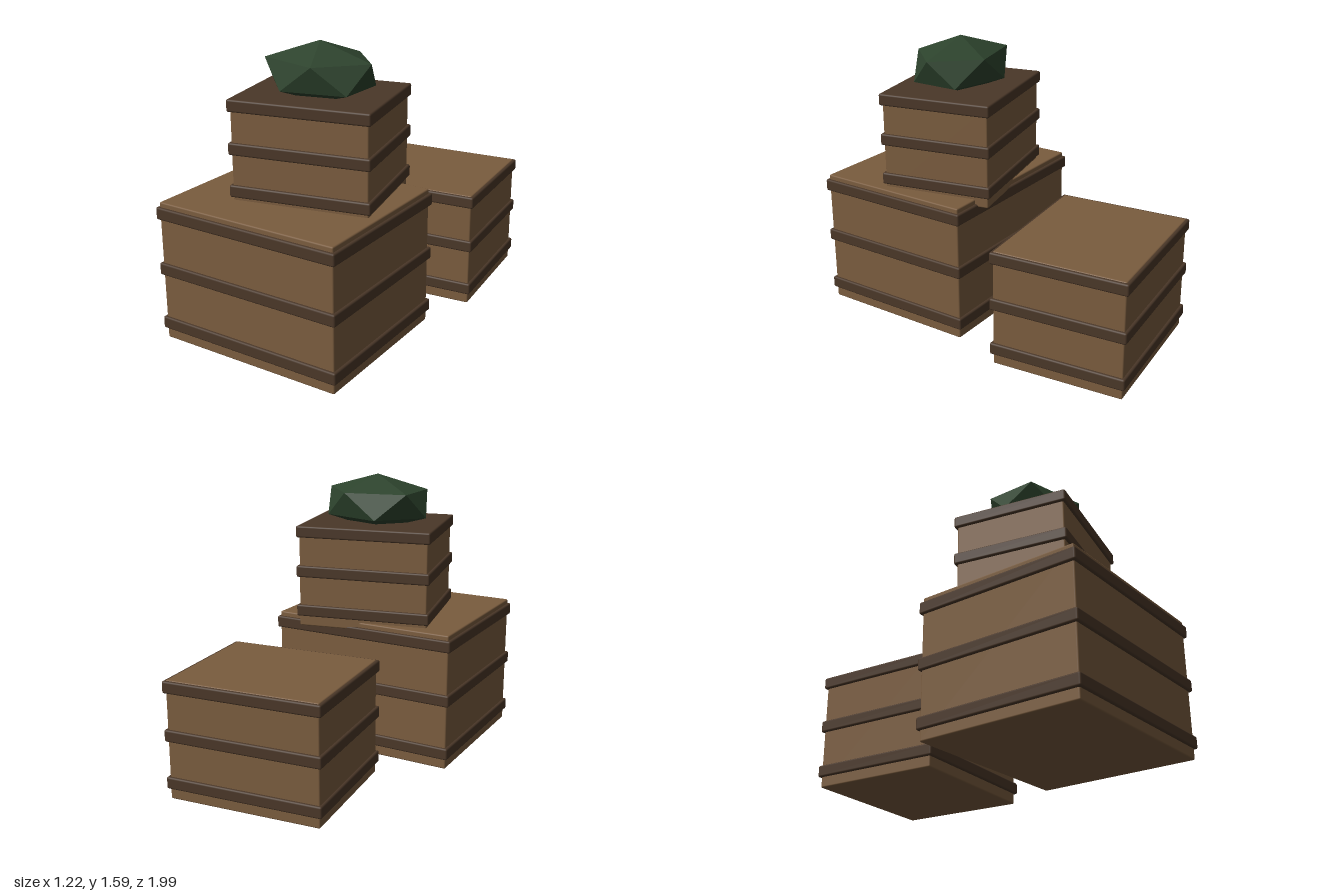
import * as THREE from 'three';
import { RoundedBoxGeometry } from 'three/addons/geometries/RoundedBoxGeometry.js';

const wood = new THREE.MeshStandardMaterial({ color: 0x7a5c3e });
const darkWood = new THREE.MeshStandardMaterial({ color: 0x4a3728 });
const green = new THREE.MeshStandardMaterial({ color: 0x2d432d, flatShading: true });

// A crate with softened edges and three bands standing proud of its sides
function crate({ name, size, bottom, top, bands, bandHeight = 0.066, x, z, turn = 0 }) {
  const group = new THREE.Group();
  group.name = name;
  const [w, d] = size;

  const body = new THREE.Mesh(new RoundedBoxGeometry(w, top - bottom, d, 2, 0.008), wood);
  body.name = 'crateBody';
  body.position.y = (top + bottom) / 2;
  group.add(body);

  for (const y of bands) {
    const band = new THREE.Mesh(new RoundedBoxGeometry(w + 0.03, bandHeight, d + 0.03, 2, 0.01), darkWood);
    band.name = 'crateBand';
    band.position.y = y;
    group.add(band);
  }
  group.position.set(x, 0, z);
  group.rotation.y = turn;
  return group;
}

export function createModel() {
  const model = new THREE.Group();
  model.name = 'crateStack';

  model.add(
    crate({ name: 'largeCrate', size: [1.08, 0.925], bottom: 0, top: 0.783,
      bands: [0.093, 0.408, 0.722], bandHeight: 0.068, x: -0.06, z: 0.52 }),
    crate({ name: 'rearCrate', size: [0.865, 0.74], bottom: 0, top: 0.661,
      bands: [0.093, 0.358, 0.624], x: 0.12, z: -0.57, turn: 0.1 }),
    // top band closes over the body as a lid
    crate({ name: 'topCrate', size: [0.745, 0.62], bottom: 0.74, top: 1.315,
      bands: [0.832, 1.061, 1.29], x: 0, z: 0.365, turn: 0.21 }),
  );

  // Faceted bundle: icosahedron stood on a vertex and squashed, sunk into the lid
  const shape = new THREE.IcosahedronGeometry(1, 0);
  shape.rotateZ(-Math.atan(2 / (1 + Math.sqrt(5))));
  shape.scale(0.345, 0.162, 0.267);
  const bundle = new THREE.Mesh(shape, green);
  bundle.name = 'bundle';
  bundle.position.set(0, 1.43, 0.37);
  model.add(bundle);

  return model;
}
